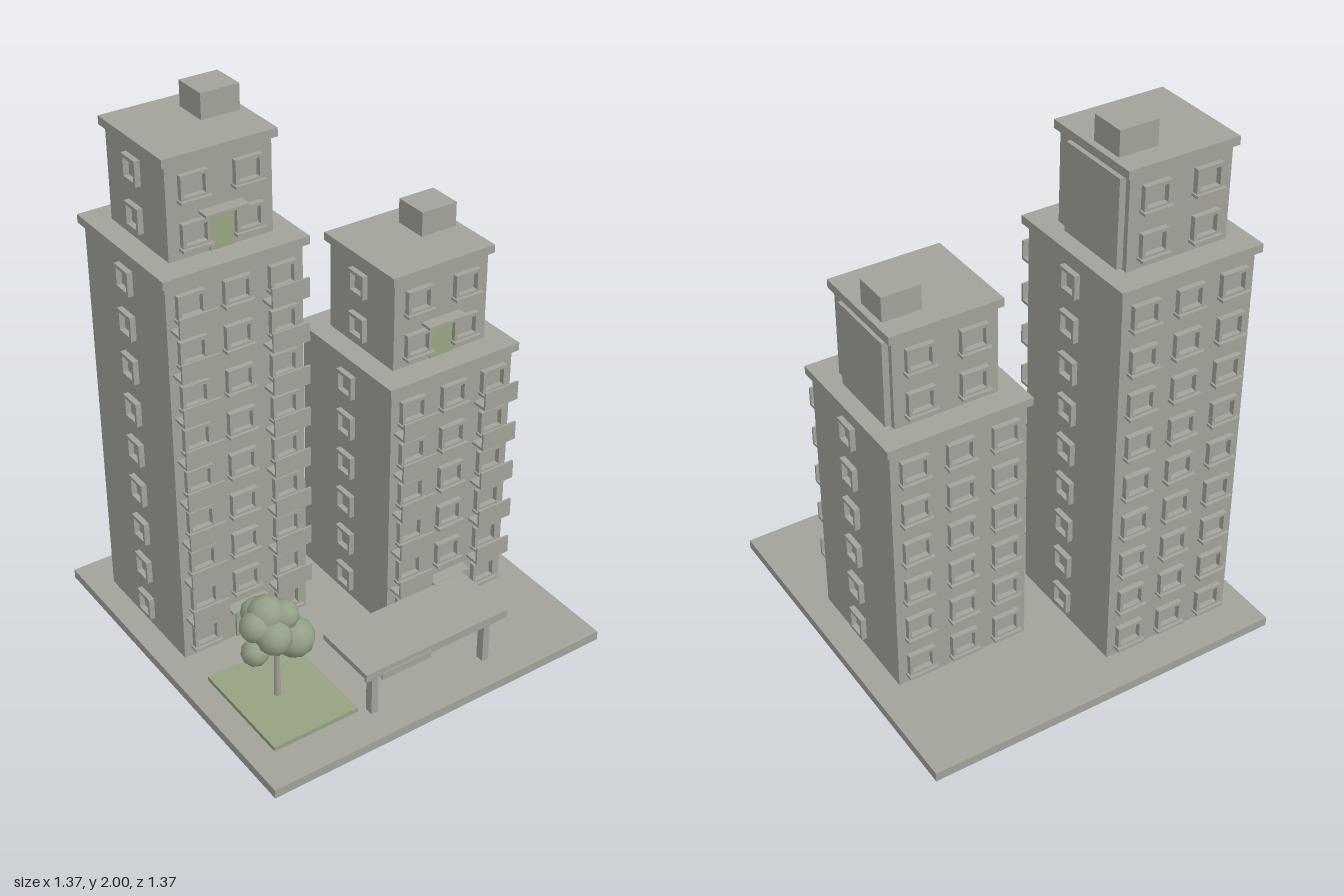
import * as THREE from 'three';
import { mergeVertices } from 'three/addons/utils/BufferGeometryUtils.js';

const concrete = new THREE.MeshStandardMaterial({ name: 'concrete grey', color: 0xa2a29a });
const doorGreen = new THREE.MeshStandardMaterial({ name: 'door green', color: 0x98a584 });
const grass = new THREE.MeshStandardMaterial({ name: 'grass green', color: 0x95a281 });
const leaf = new THREE.MeshStandardMaterial({ name: 'leaf green', color: 0x94a088 });

const BASE = 0.035, FLOOR = 0.165, SLAB = 0.03;

// Box given by its centre in x and z and by its bottom in y
function box(parent, name, w, h, d, x, y, z, material = concrete) {
  const mesh = new THREE.Mesh(new THREE.BoxGeometry(w, h, d), material);
  mesh.name = name;
  mesh.position.set(x, y + h / 2, z);
  parent.add(mesh);
  return mesh;
}

// Rectangular window frame with an opening
function frameGeometry(w, h, depth, bar) {
  const rect = (target, a, b) => {
    target.moveTo(-a, -b);
    target.lineTo(a, -b);
    target.lineTo(a, b);
    target.lineTo(-a, b);
    target.closePath();
    return target;
  };
  const shape = rect(new THREE.Shape(), w / 2, h / 2);
  shape.holes.push(rect(new THREE.Path(), w / 2 - bar, h / 2 - bar));
  return new THREE.ExtrudeGeometry(shape, { depth, bevelEnabled: false });
}
const wideFrame = frameGeometry(0.1, 0.088, 0.02, 0.012);
const sideFrame = frameGeometry(0.085, 0.088, 0.02, 0.012);

// A wall is a group whose local +z points out of the facade
function wall(parent, name, x, y, z, angle) {
  const group = new THREE.Group();
  group.name = name;
  group.position.set(x, y, z);
  group.rotation.y = angle;
  parent.add(group);
  return group;
}

function addWindow(parent, x, floor, side = false) {
  const y = (floor + 0.5) * FLOOR;
  const frame = new THREE.Mesh(side ? sideFrame : wideFrame, concrete);
  frame.name = 'windowFrame';
  frame.position.set(x, y, 0);
  parent.add(frame);
  if (!side) box(parent, 'windowSill', 0.112, 0.01, 0.032, x, y - 0.05, 0.016);
}

function addBalcony(parent, x, floor) {
  const y = floor * FLOOR;
  box(parent, 'balconyFloor', 0.142, 0.01, 0.06, x, y, 0.03);
  box(parent, 'balconyRail', 0.142, 0.065, 0.008, x, y + 0.006, 0.056);
}

function addDoor(parent) {
  box(parent, 'door', 0.09, 0.128, 0.009, 0, 0.003, 0.0045, doorGreen);
  box(parent, 'doorCanopy', 0.158, 0.01, 0.047, 0, 0.14, 0.0235);
}

function createTower(name, x, z, floors) {
  const tower = new THREE.Group();
  tower.name = name;
  tower.position.set(x, BASE, z);

  // Main block
  const w = 0.508, d = 0.516, h = floors * FLOOR;
  box(tower, 'mainBlock', w, h, d, 0, 0, 0);
  box(tower, 'mainRoof', 0.54, SLAB, 0.553, 0, h, 0);
  const front = wall(tower, 'frontWall', 0, 0, d / 2, 0);
  const back = wall(tower, 'backWall', 0, 0, -d / 2, Math.PI);
  const left = wall(tower, 'leftWall', w / 2, 0, 0, Math.PI / 2);
  const right = wall(tower, 'rightWall', -w / 2, 0, 0, -Math.PI / 2);
  addDoor(front);
  for (let floor = 0; floor < floors; floor++) {
    for (const column of [-0.17, 0, 0.17]) {
      addWindow(back, column, floor);
      if (column !== 0 || floor > 0) addWindow(front, column, floor);
      if (column !== 0 && floor > 0) addBalcony(front, column, floor);
    }
    addWindow(left, -0.01, floor, true);
    addWindow(right, 0.01, floor, true);
  }

  // Set-back upper block
  const upper = new THREE.Group();
  upper.name = 'upperBlock';
  upper.position.set(0, h + SLAB, -0.002);
  tower.add(upper);
  const uw = 0.384, ud = 0.366, uh = 2 * FLOOR;
  box(upper, 'upperWalls', uw, uh, ud, 0, 0, 0);
  box(upper, 'upperRoof', 0.415, SLAB, 0.395, 0, uh, 0);
  box(upper, 'roofHouse', 0.143, 0.09, 0.13, 0.112, uh + SLAB, -0.048);
  box(upper, 'sidePanel', 0.024, uh - 0.015, 0.28, uw / 2 + 0.011, 0.007, -0.024);
  const upFront = wall(upper, 'upperFrontWall', 0, 0, ud / 2, 0);
  const upBack = wall(upper, 'upperBackWall', 0, 0, -ud / 2, Math.PI);
  const upRight = wall(upper, 'upperRightWall', -uw / 2, 0, 0, -Math.PI / 2);
  addDoor(upFront);
  for (let floor = 0; floor < 2; floor++) {
    for (const column of [-0.098, 0.098]) {
      addWindow(upFront, column, floor);
      addWindow(upBack, column, floor);
    }
    addWindow(upRight, -0.01, floor, true);
  }
  return tower;
}

// Open shelter on two posts
function createShelter() {
  const shelter = new THREE.Group();
  shelter.name = 'shelter';
  box(shelter, 'shelterRoof', 0.592, 0.022, 0.25, 0.024, 0.232, 0.482);
  box(shelter, 'shelterFascia', 0.592, 0.012, 0.012, 0.024, 0.222, 0.601);
  box(shelter, 'shelterSign', 0.2, 0.028, 0.009, -0.11, 0.206, 0.606);
  for (const x of [-0.213, 0.261]) box(shelter, 'shelterPost', 0.026, 0.2, 0.032, x, BASE, 0.558);
  return shelter;
}

// Tree with a crown of overlapping faceted balls
function createTree() {
  const tree = new THREE.Group();
  tree.name = 'tree';
  const trunk = new THREE.Mesh(new THREE.CylinderGeometry(0.009, 0.013, 0.25, 7), concrete);
  trunk.name = 'trunk';
  trunk.position.set(-0.44, 0.165, 0.325);
  tree.add(trunk);
  const ball = new THREE.IcosahedronGeometry(1, 1);
  ball.deleteAttribute('normal');
  ball.deleteAttribute('uv');
  const smooth = mergeVertices(ball);
  smooth.computeVertexNormals();
  const crown = [
    [-0.465, 0.395, 0.3, 0.068],
    [-0.515, 0.375, 0.315, 0.056],
    [-0.48, 0.385, 0.262, 0.053],
    [-0.41, 0.385, 0.325, 0.054],
    [-0.47, 0.34, 0.36, 0.062],
    [-0.385, 0.295, 0.35, 0.072],
    [-0.515, 0.263, 0.31, 0.05],
    [-0.45, 0.3, 0.3, 0.07],
  ];
  crown.forEach(([x, y, z, r], i) => {
    const leaves = new THREE.Mesh(smooth, leaf);
    leaves.name = 'leaves';
    leaves.position.set(x, y, z);
    leaves.rotation.set(i, i * 2, 0);
    leaves.scale.setScalar(r);
    tree.add(leaves);
  });
  return tree;
}

export function createModel() {
  const model = new THREE.Group();
  model.name = 'apartmentTowers';
  box(model, 'groundSlab', 1.37, BASE, 1.37, 0, 0, 0);
  box(model, 'lawn', 0.335, 0.017, 0.418, -0.423, BASE, 0.328, grass);
  model.add(createTower('tallTower', -0.342, -0.285, 9));
  model.add(createTower('shortTower', 0.332, -0.016, 6));
  model.add(createShelter(), createTree());
  return model;
}
